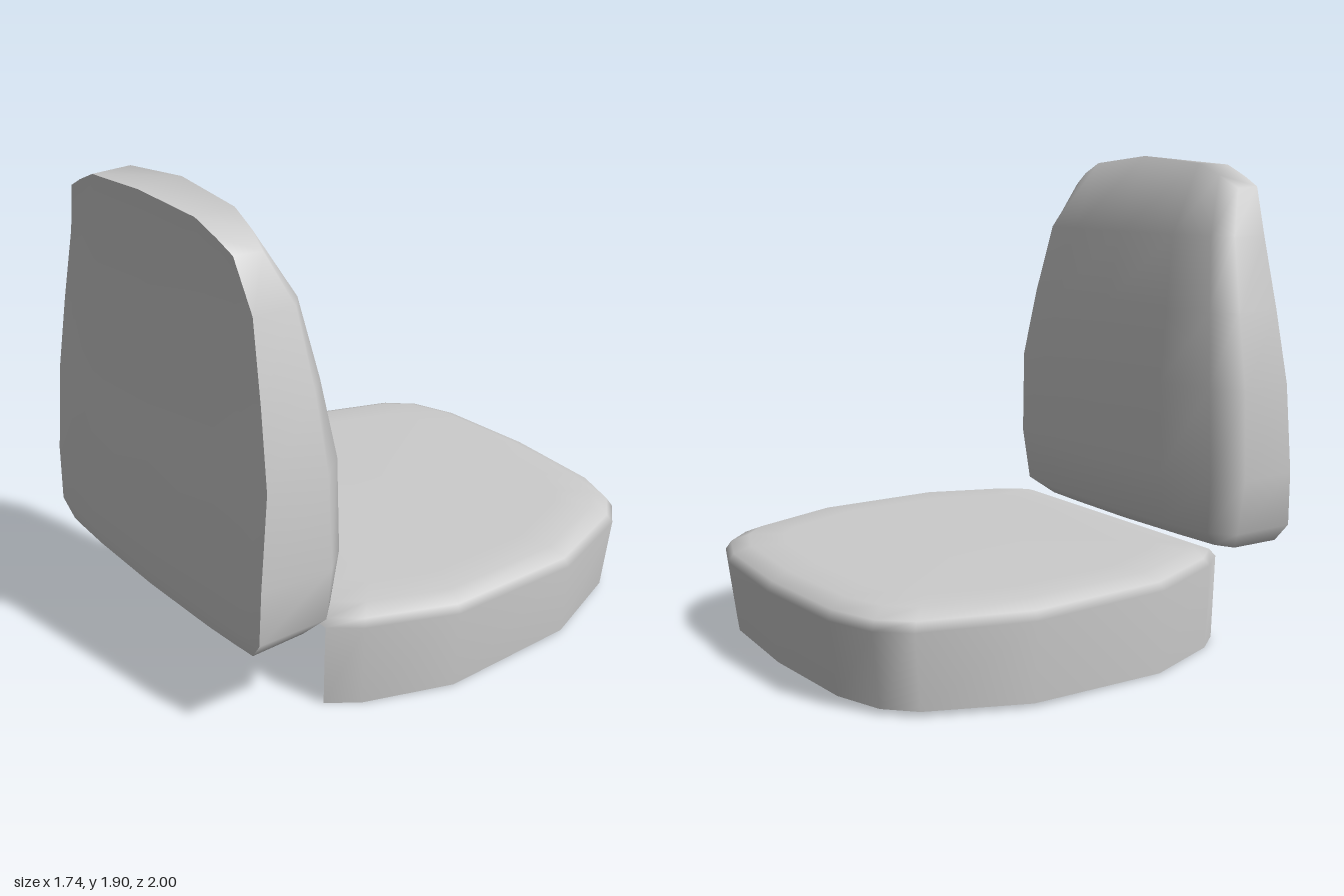
import * as THREE from 'three';
import { mergeVertices } from 'three/addons/utils/BufferGeometryUtils.js';

const material = new THREE.MeshStandardMaterial({ color: 0xcccccc, side: THREE.DoubleSide });

// Triangles for a grid of points given as rows of [x, y, z]
function grid(rows) {
  const out = [];
  for (let i = 0; i < rows.length - 1; i++) {
    for (let j = 0; j < rows[i].length - 1; j++) {
      const a = rows[i][j], b = rows[i][j + 1], c = rows[i + 1][j + 1], d = rows[i + 1][j];
      out.push(...a, ...b, ...c);
      if (c !== d) out.push(...a, ...c, ...d);
    }
  }
  return out;
}

// Smooth mesh from triangle positions, shared corners welded
function smoothMesh(name, positions) {
  let geo = new THREE.BufferGeometry();
  geo.setAttribute('position', new THREE.Float32BufferAttribute(positions, 3));
  geo = mergeVertices(geo, 1e-4);
  geo.computeVertexNormals();
  const mesh = new THREE.Mesh(geo, material);
  mesh.name = name;
  return mesh;
}

// Half row running from +x to the centre, completed to -x
const mirrorRow = half => [...half, ...half.slice(0, -1).reverse().map(([x, y, z]) => [-x, y, z])];

function makeBackrest() {
  // Sections: height, half width at shoulder, at back edge, z of front, shoulder, back
  const sections = [
    [0.355, 0.63, 0.63, 0.68, 0.74, 0.985],
    [0.43, 0.70, 0.69, 0.56, 0.69, 0.998],
    [0.65, 0.735, 0.70, 0.532, 0.69, 0.99],
    [1.01, 0.72, 0.70, 0.525, 0.69, 0.955],
    [1.30, 0.665, 0.65, 0.573, 0.70, 0.935],
    [1.59, 0.60, 0.59, 0.632, 0.725, 0.915],
  ];
  const shell = [], panel = [];
  for (const [y, w, wb, zf, zs, zb] of sections) {
    const chamfer = zf + (zs - zf) * 0.36;
    const back = [wb, y, zb - 0.025];
    shell.push(mirrorRow([back, [w, y, zs], [w * 0.88, y, chamfer], [w * 0.55, y, zf + 0.01], [0, y, zf]]));
    panel.push(mirrorRow([back, [wb * 0.84, y, zb - 0.017], [wb * 0.6, y, zb - 0.008], [0, y, zb]]));
  }
  // Arched top edge
  const topBack = mirrorRow([[0.52, 1.78, 0.91], [0.44, 1.82, 0.917], [0.33, 1.865, 0.925], [0, 1.885, 0.935]]);
  const topFront = mirrorRow([[0.53, 1.775, 0.80], [0.44, 1.825, 0.78], [0.33, 1.87, 0.768], [0, 1.9, 0.76]]);
  shell.push([topBack[0], ...topFront, topBack[topBack.length - 1]]);
  panel.push(topBack);

  const group = new THREE.Group();
  group.name = 'backrest';
  group.add(
    smoothMesh('backrestCushion', [...grid(shell), ...grid([topFront, topBack])]),
    smoothMesh('backrestRearPanel', grid(panel.map(r => [...r].reverse()))),
  );
  return group;
}

function makeSeat() {
  // Plan outline from the rear corner round to the front centre: x, z
  const outline = mirrorRow([
    [0.63, 0, 0.64], [0.72, 0, 0.53], [0.86, 0, 0.19], [0.87, 0, -0.38],
    [0.73, 0, -0.79], [0.63, 0, -0.90], [0.44, 0, -0.97], [0, 0, -1],
  ]);
  const ring = (scale, y, tilt) => outline.map(([x, , z]) =>
    [x * scale, y + tilt * z, -0.15 + (z + 0.15) * scale]);

  // Skirt is open underneath and across the rear
  const bottom = outline.map(([x, , z]) =>
    [x * 0.975, Math.max(0, 0.008 - 0.014 * z), z < -0.7 ? z * 0.962 : z]);
  const rim = ring(1, 0.325, 0.02);
  const top = [rim, ring(0.975, 0.355, 0.015), ring(0.9, 0.38, 0.01), ring(0.75, 0.384, 0.006)];
  const centre = [0, 0.387, -0.15];
  const closed = top.map(r => [...r, r[0]]);
  closed.push(closed[0].map(() => centre));
  return smoothMesh('seatCushion', [...grid([bottom, rim]), ...grid(closed)]);
}

export function createModel() {
  const model = new THREE.Group();
  model.name = 'seat';
  model.add(makeSeat(), makeBackrest());
  return model;
}
